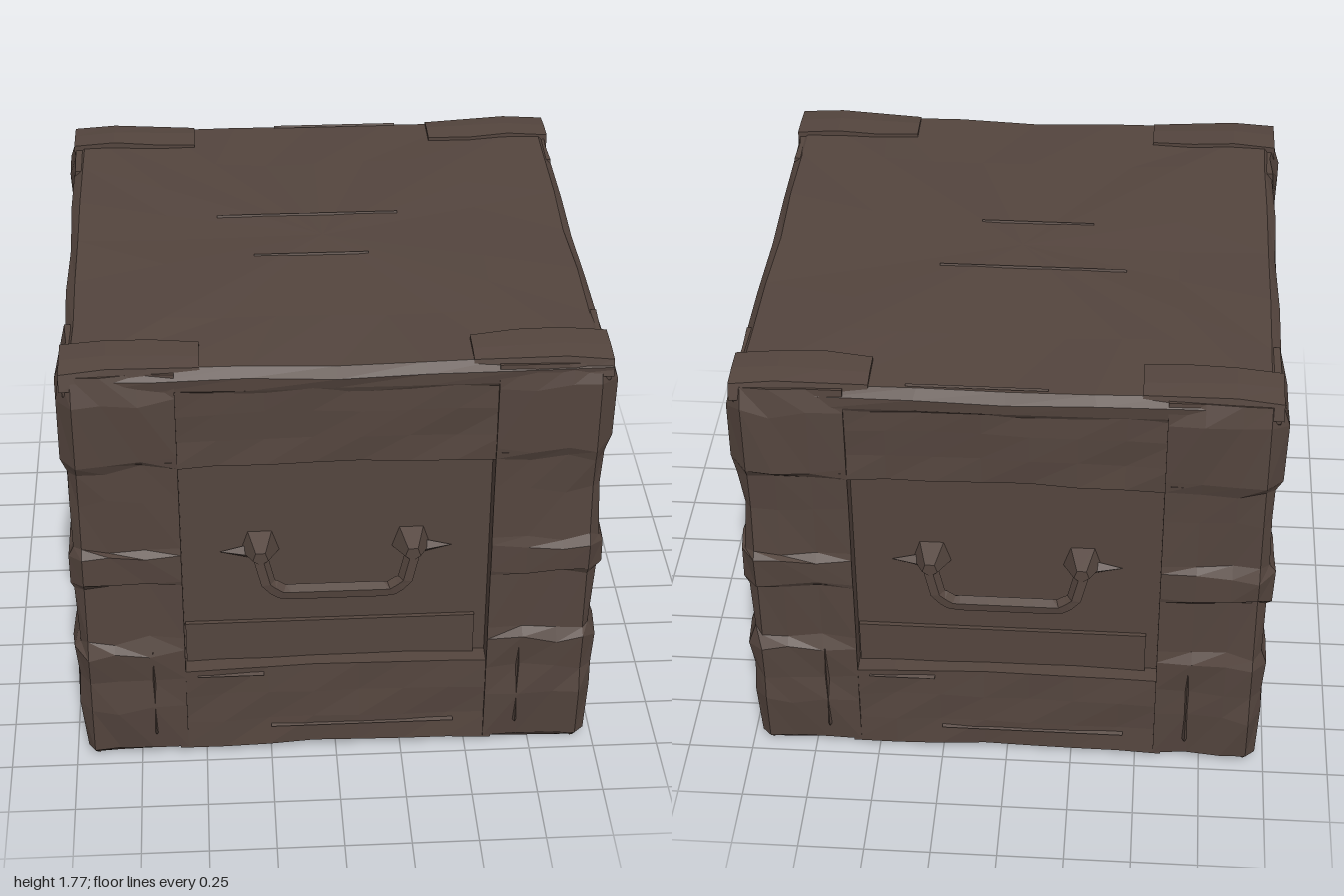
import * as THREE from 'three';

const wood = new THREE.MeshStandardMaterial({ color: 0x54453e });
wood.name = 'dark brown wood';

// Repeatable noise in -1..1 from a position
function noise(x, y, z) {
  const s = Math.sin(Math.round(x * 100) * 12.99 + Math.round(y * 100) * 78.23 + Math.round(z * 100) * 37.72) * 43758.55;
  return (s - Math.floor(s)) * 2 - 1;
}

// Faceted mesh with hard edges
function part(name, geometry) {
  const g = geometry.index ? geometry.toNonIndexed() : geometry;
  g.computeVertexNormals();
  const m = new THREE.Mesh(g, wood);
  m.name = name;
  return m;
}

// Move every vertex by a rule
function warp(g, rule) {
  const p = g.attributes.position;
  const v = new THREE.Vector3();
  for (let i = 0; i < p.count; i++) {
    v.fromBufferAttribute(p, i);
    rule(v);
    p.setXYZ(i, v.x, v.y, v.z);
  }
  return g;
}

// Join rings (counter-clockwise seen from above, bottom to top) and cap the ends
function loft(rings, flip) {
  const pos = [], idx = [], n = rings[0].length;
  const tri = (a, b, c) => (flip ? idx.push(a, c, b) : idx.push(a, b, c));
  rings.forEach(r => r.forEach(p => pos.push(...p)));
  for (let j = 0; j < rings.length - 1; j++) {
    for (let i = 0; i < n; i++) {
      const a = j * n + i, b = j * n + (i + 1) % n;
      tri(a, b, b + n);
      tri(a, b + n, a + n);
    }
  }
  [0, rings.length - 1].forEach(j => {
    const c = pos.length / 3;
    pos.push(...[0, 1, 2].map(k => rings[j].reduce((s, p) => s + p[k], 0) / n));
    for (let i = 0; i < n; i++) {
      const a = j * n + i, b = j * n + (i + 1) % n;
      if (j) tri(a, b, c); else tri(b, a, c);
    }
  });
  const g = new THREE.BufferGeometry();
  g.setAttribute('position', new THREE.Float32BufferAttribute(pos, 3));
  g.setIndex(idx);
  return g;
}

// Corner post: an L-facing column that swells at the worn bands
function post(sx, sz) {
  const bands = [[0, -0.04], [0.04, 0], [0.25, 0.02], [0.38, 0.015], [0.52, 0.027], [0.57, 0], [0.82, 0.002], [0.84, 0.024],
    [0.96, 0.027], [0.99, 0.004], [1.2, -0.002], [1.34, 0.006], [1.39, 0.025], [1.64, 0.028], [1.735, 0.004]];
  const rings = bands.map(([y, o]) => {
    const q = 0.96 + o, e = 0.96 + Math.min(o, 0) + o * 0.25;
    return [[0.57, 0.6], [0.57, e], [0.7, q - 0.006], [0.83, q], [0.93, q], [q, 0.93], [q, 0.83], [q - 0.006, 0.72], [e, 0.6]]
      .map(([x, z], i) => {
        const k = i > 1 && i < 8 ? 1 : 0;
        const d = k * 0.007 * noise(sx * x, y, sz * z);
        const lift = k && y > 0.1 && y < 1.7 ? 0.022 * noise(sx * z, y + 1, sz * x) : 0;
        return [sx * (x + (i > 4 ? d : 0)), y + lift, sz * (z + (i < 5 ? d : 0))];
      });
  });
  return part('cornerPost', loft(rings, sx * sz < 0 ? true : false));
}

// Horizontal board lying on a face, facing +z, with an uneven surface
function rail(name, width, y0, y1, out) {
  const g = new THREE.BoxGeometry(width, y1 - y0, 0.14, 7, 3, 1);
  g.translate(0, (y0 + y1) / 2, out - 0.07);
  return part(name, warp(g, v => {
    if (v.z > out - 0.01) v.z += 0.007 * noise(v.x, v.y, width);
    const arch = 1 - (2 * v.x / width) ** 2;
    v.y += 0.006 * noise(v.x, v.y, 3) + 0.012 * arch;
  }));
}

// Thin wedge of split wood on a surface facing +z
function splinter(length, height, thick) {
  const g = new THREE.CylinderGeometry(0.5, 0.5, 1, 3);
  g.rotateZ(Math.PI / 2).scale(length, height, thick);
  return part('splinter', warp(g, v => { v.y *= 1 - 1.2 * Math.abs(v.x) / length; }));
}

// Drop handle hanging from two pointed mounts
function handle() {
  const group = new THREE.Group();
  group.name = 'handle';
  const pts = [[-0.28, 0.95, 0.89], [-0.285, 0.93, 0.94], [-0.255, 0.81, 0.955], [-0.2, 0.772, 0.955]];
  const path = new THREE.CurvePath();
  const line = [...pts, ...pts.slice().reverse().map(([x, y, z]) => [-x, y, z])].map(p => new THREE.Vector3(...p));
  for (let i = 0; i < line.length - 1; i++) path.add(new THREE.LineCurve3(line[i], line[i + 1]));
  group.add(part('handleBar', new THREE.TubeGeometry(path, 26, 0.03, 5)));
  [-1, 1].forEach(s => {
    const mount = part('handleMount', new THREE.CylinderGeometry(0.03, 0.075, 0.09, 5).rotateX(Math.PI / 2));
    mount.position.set(s * 0.28, 0.935, 0.925);
    const spike = part('mountSpike', new THREE.ConeGeometry(0.035, 0.13, 4).rotateZ(-s * Math.PI / 2));
    spike.position.set(s * 0.365, 0.915, 0.89);
    group.add(mount, spike);
  });
  return group;
}

// One framed face, built facing +z
function face(name, halfWidth, withHandle) {
  const group = new THREE.Group();
  group.name = name;
  group.add(rail('topRail', 2 * halfWidth + 0.06, 1.335, 1.66, 0.955));
  group.add(rail('bottomRail', 2 * halfWidth + 0.06, 0.03, 0.405, 0.955));
  if (withHandle) {
    group.add(handle());
    const plank = part('lowerPlank', new THREE.BoxGeometry(1.09, 0.2, 0.02));
    plank.position.set(-0.02, 0.487, 0.887);
    group.add(plank);
  }
  // Split wood on the frame
  [[-0.4, 0.385, 0.25], [0.1, 0.13, 0.7], [-0.76, 0.84, 0.3], [0.76, 0.84, 0.3], [-0.74, 1.37, 0.3], [0.74, 1.37, 0.3]]
    .forEach(([x, y, l]) => {
      const s = splinter(l, 0.035, 0.02);
      s.position.set(x, y, 0.958);
      group.add(s);
    });
  [-0.69, 0.69].forEach(x => {
    const s = splinter(0.4, 0.06, 0.03);
    s.rotation.z = Math.PI / 2;
    s.position.set(x, 0.32, 0.964);
    group.add(s);
  });
  return group;
}

// Lid with worn, bevelled edges
function lid() {
  const rings = [[1.64, 0.945], [1.665, 0.965], [1.715, 0.968], [1.748, 0.935], [1.75, 0.6]].map(([y, r]) => {
    const ring = [], n = 6;
    const corners = [[-1, 1], [1, 1], [1, -1], [-1, -1]];
    corners.forEach(([x, z], c) => {
      const [x2, z2] = corners[(c + 1) % 4];
      for (let i = 0; i < n; i++) {
        const t = i / n, X = r * (x + (x2 - x) * t), Z = r * (z + (z2 - z) * t);
        const k = 1 + 0.006 * noise(X, y, Z);
        ring.push([X * k * 0.995, y + 0.006 * noise(Z, y, X) - 0.008 * Math.sin(Math.PI * t), Z * k]);
      }
    });
    return ring;
  });
  return part('lid', loft(rings));
}

// Raised plate on a lid corner, tapering toward the middle
function lidPlate(sx, sz) {
  const g = new THREE.BoxGeometry(0.49, 0.09, 0.2, 3, 1, 2);
  g.translate(sx * 0.725, 1.73, sz * 0.875);
  return part('lidCornerPlate', warp(g, v => {
    const t = (Math.abs(v.x) - 0.48) / 0.49;
    if (v.y > 1.74) v.y -= 0.018 * (1 - t) + (t > 0.9 ? 0.02 : 0);
    if (Math.abs(v.z) > 0.95) v.z = sz * (0.955 + 0.022 * t);
    else if (Math.abs(v.z) < 0.8) v.z += 0.012 * noise(v.x, 1, v.z);
    if (v.y > 1.74 && Math.abs(v.z) > 0.94) { v.y -= 0.008; v.z -= sz * 0.015; }
  }));
}

export function createModel() {
  const crate = new THREE.Group();
  crate.name = 'woodenCrate';

  // Inner box forms the recessed panels and the base
  const core = part('innerPanels', new THREE.BoxGeometry(1.76, 1.64, 1.76));
  core.position.y = 0.86;
  crate.add(core, lid());

  for (const sx of [-1, 1]) for (const sz of [-1, 1]) crate.add(post(sx, sz), lidPlate(sx, sz));

  ['frontFace', 'leftFace', 'backFace', 'rightFace'].forEach((name, i) => {
    const f = face(name, i % 2 ? 0.6 : 0.57, i % 2 === 0);
    f.rotation.y = i * Math.PI / 2;
    crate.add(f);
  });

  // Long splits across the lid
  [[-0.05, 0.155, 0.43], [-0.05, -0.16, 0.7], [0.1, -0.93, 0.5]].forEach(([x, z, l]) => {
    const s = splinter(l, 0.02, 0.012);
    s.rotation.x = -Math.PI / 2;
    s.position.set(x, 1.748, z);
    crate.add(s);
  });
  return crate;
}
